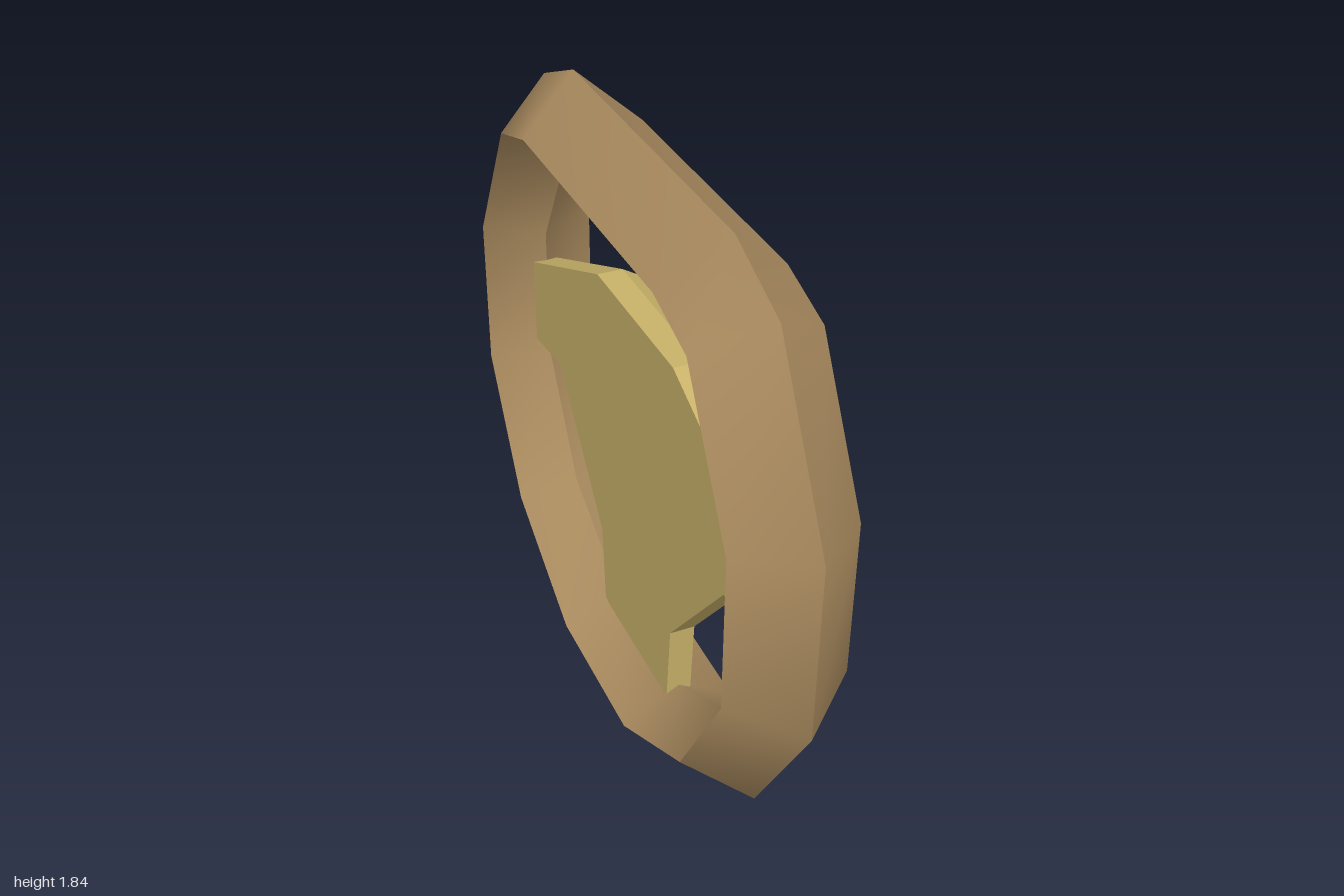
import * as THREE from 'three';

const rimMaterial = new THREE.MeshStandardMaterial({ color: 0xa98a5e });
rimMaterial.name = 'brown rim';
const hubMaterial = new THREE.MeshStandardMaterial({ color: 0xc8b269 });
hubMaterial.name = 'tan hub';

// Half outlines as [z, y], from the top down; the other half is mirrored.
const OUTER = [[0.5, 1.835], [0.735, 1.735], [1, 1.265], [1, 0.735], [0.73, 0.27], [0.265, 0]];
const SIDE = [[0.435, 1.69], [0.625, 1.63], [0.855, 1.23], [0.855, 0.775], [0.625, 0.375], [0.235, 0.15]];
const INNER = [[0.4, 1.605], [0.57, 1.565], [0.775, 1.21], [0.775, 0.795], [0.57, 0.435], [0.21, 0.235]];
const SPOKES = [[0.255, 1.35], [0.79, 1.115], [0.79, 0.845], [0.58, 0.87], [0.255, 0.475], [0.235, 0.22], [0.22, 0.21]];
const PAD = [[0.255, 1.35], [0.58, 0.87], [0.255, 0.475]];
const HALF_WIDTH = 0.17;
const PLATE = 0.037;
const PAD_FRONT = 0.095;

function mirrored(half) {
  return [...half, ...half.map(([z, y]) => [-z, y]).reverse()];
}

// One face of the rim: a closed strip between two rings, smooth along its length
function strip(ringA, xA, ringB, xB) {
  const a = mirrored(ringA), b = mirrored(ringB), n = a.length;
  const positions = [], index = [];
  for (let i = 0; i < n; i++) {
    positions.push(xA, a[i][1], a[i][0], xB, b[i][1], b[i][0]);
    const p = 2 * i, q = 2 * ((i + 1) % n);
    index.push(p, q, p + 1, p + 1, q, q + 1);
  }
  const geometry = new THREE.BufferGeometry();
  geometry.setAttribute('position', new THREE.Float32BufferAttribute(positions, 3));
  geometry.setIndex(index);
  geometry.computeVertexNormals();
  return geometry;
}

// Slab along x; the +x end can be shrunk around the pad's centre
function slab(half, x0, x1, frontScale = 1) {
  const shape = new THREE.Shape(mirrored(half).map(([z, y]) => new THREE.Vector2(z, y)));
  const geometry = new THREE.ExtrudeGeometry(shape, { depth: x1 - x0, bevelEnabled: false });
  const pos = geometry.attributes.position;
  const centreY = 0.87;
  for (let i = 0; i < pos.count; i++) {
    if (pos.getZ(i) > (x1 - x0) / 2) {
      pos.setX(i, pos.getX(i) * frontScale);
      pos.setY(i, centreY + (pos.getY(i) - centreY) * frontScale);
    }
  }
  geometry.computeVertexNormals();
  return geometry.rotateY(Math.PI / 2).translate(x0, 0, 0);
}

function part(name, geometry, material) {
  const mesh = new THREE.Mesh(geometry, material);
  mesh.name = name;
  return mesh;
}

export function createModel() {
  const group = new THREE.Group();
  group.name = 'steeringWheel';

  // Rim: diamond section with ridges at the outside, both sides and the inside
  const rim = new THREE.Group();
  rim.name = 'rim';
  const section = [[OUTER, 0], [SIDE, HALF_WIDTH], [INNER, 0], [SIDE, -HALF_WIDTH]];
  const names = ['outerLeftFace', 'innerLeftFace', 'innerRightFace', 'outerRightFace'];
  section.forEach(([ring, x], i) => {
    const [nextRing, nextX] = section[(i + 1) % section.length];
    rim.add(part(names[i], strip(ring, x, nextRing, nextX), rimMaterial));
  });
  group.add(rim);

  // Flat plate with three spokes, and the bevelled centre pad on it
  group.add(part('spokes', slab(SPOKES, -PLATE, PLATE), hubMaterial));
  group.add(part('centrePad', slab(PAD, PLATE, PAD_FRONT, 0.94), hubMaterial));
  return group;
}
